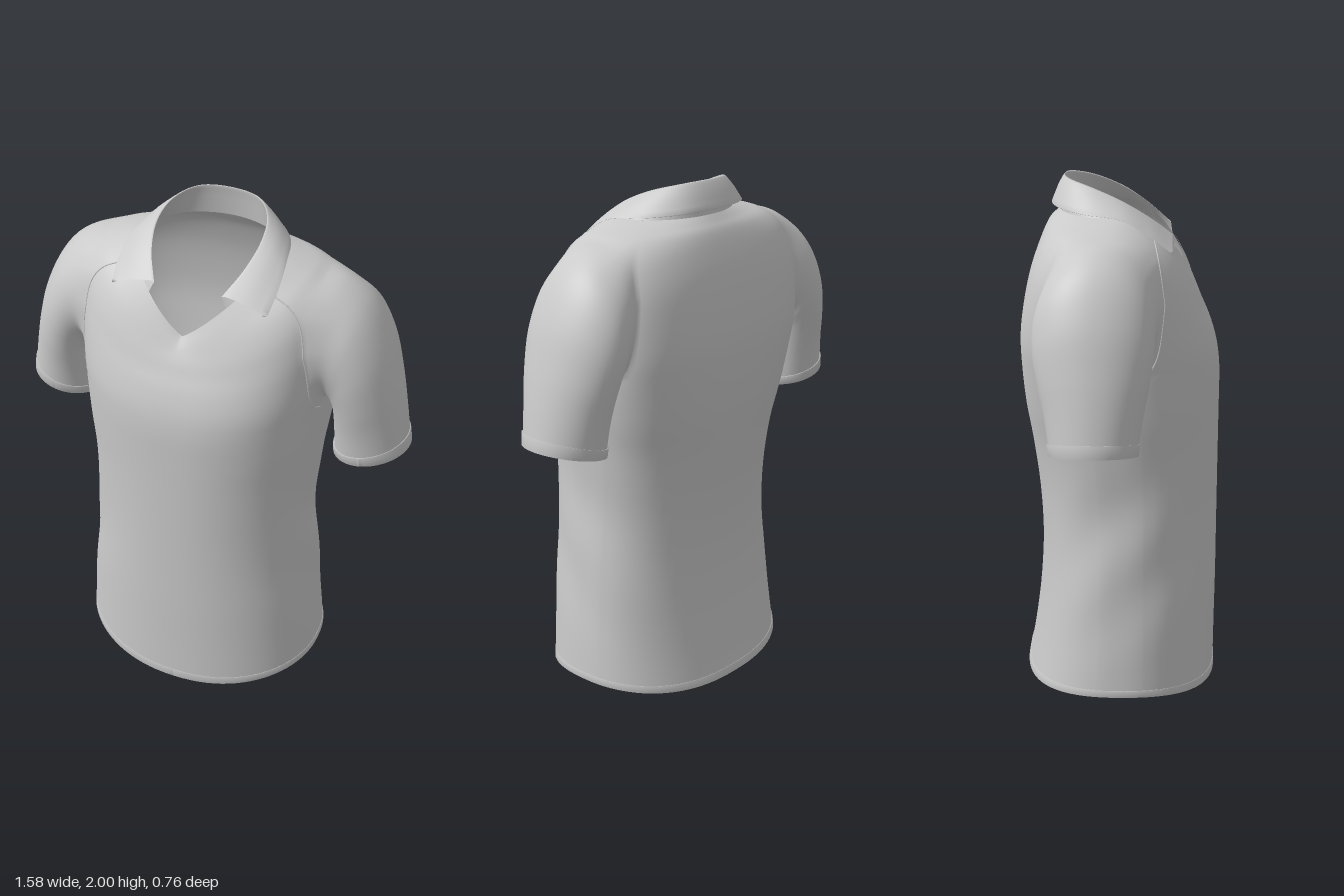
import * as THREE from 'three';

const fabric = new THREE.MeshStandardMaterial({ color: 0xcacaca, side: THREE.DoubleSide });
fabric.name = 'light grey fabric';

const N = 96, SUB = 4;             // columns around the torso, rows per level
const ARM0 = 29, ARM1 = 48;        // rows spanned by the armhole
const COL0 = 16, COL1 = 32;        // columns spanned by the left armhole

// Torso levels: yFront, ySide, yBack, halfWidth, zFront, zBack, zSide, roundness, front curve
const LEVELS = [
  [0, 0.07, 0.03, 0.50, 0.375, -0.38, 0, 0.85, 2],
  [0.2, 0.22, 0.2, 0.49, 0.376, -0.35, 0, 0.85, 2],
  [0.4, 0.4, 0.4, 0.475, 0.378, -0.325, 0, 0.85, 2],
  [0.6, 0.6, 0.6, 0.455, 0.378, -0.315, 0, 0.85, 2],
  [0.8, 0.8, 0.8, 0.442, 0.378, -0.325, 0, 0.85, 2],
  [1.0, 1.0, 1.0, 0.45, 0.378, -0.35, -0.01, 0.82, 2],
  [1.15, 1.15, 1.15, 0.465, 0.378, -0.372, -0.03, 0.75, 2],
  [1.27, 1.29, 1.3, 0.477, 0.377, -0.383, -0.06, 0.68, 2],
  [1.36, 1.41, 1.43, 0.485, 0.366, -0.383, -0.08, 0.6, 2],
  [1.44, 1.54, 1.56, 0.49, 0.342, -0.365, -0.1, 0.57, 2],
  [1.5, 1.66, 1.67, 0.485, 0.315, -0.34, -0.1, 0.57, 1.9],
  [1.54, 1.76, 1.76, 0.465, 0.297, -0.308, -0.09, 0.65, 1.7],
  [1.57, 1.82, 1.82, 0.42, 0.28, -0.28, -0.07, 0.8, 1.5],
  [1.597, 1.85, 1.85, 0.34, 0.262, -0.255, -0.05, 0.95, 1.3],
  [1.625, 1.87, 1.873, 0.265, 0.24, -0.235, -0.03, 1, 1.15],
];
const TOP = LEVELS.length - 1;

const clamp = THREE.MathUtils.clamp;
const spow = (t, e) => Math.sign(t) * Math.pow(Math.abs(t), e);

// Smooth interpolation between torso levels
function level(v) {
  const i = Math.min(Math.floor(v), TOP - 1), t = v - i;
  const row = k => LEVELS[clamp(k, 0, TOP)];
  return row(i).map((b, n) => {
    const a = row(i - 1)[n], c = row(i + 1)[n], d = row(i + 2)[n];
    return b + 0.5 * t * (c - a + t * (2 * a - 5 * b + 4 * c - d + t * (3 * (b - c) + d - a)));
  });
}

// Point on the torso at level v and angle a (0 = front, +90 degrees = left)
function torso(v, a, grow = 0) {
  const [yF, yS, yB, w, zF, zB, zC, eB, p] = level(v);
  const s = Math.sin(a), c = Math.cos(a), e = c > 0 ? 0.5 + 0.5 * eB : eB;
  const y = yS + ((c > 0 ? yF : yB) - yS) * (1 - Math.pow(Math.abs(s), p));
  // soft cloth folds along the waist sides
  const mask = Math.pow(Math.sin(Math.PI * clamp((y - 0.1) / 1.1, 0, 1)), 2) * s ** 4;
  const k = 1 + 0.014 * mask * Math.sin(13 * y - 5 * c);
  const x = w * spow(s, e) * k + grow * s;
  const z = zC + (c > 0 ? zF - zC : zC - zB) * spow(c, e) * k + grow * c;
  return new THREE.Vector3(x, y, z);
}

// Column angle: columns squeeze together below the arm so the armhole is rounded
function columnAngle(i, v) {
  const deg = i * 360 / N, mid = deg < 180 ? 90 : 270, d = deg - mid;
  const h = 12 + 20 * Math.sqrt(clamp((v - ARM0 / SUB) / 2.5, 0, 1));
  const m = Math.abs(d) <= 30 ? Math.abs(d) * h / 30 : h + (Math.abs(d) - 30) * (90 - h) / 60;
  return (mid + Math.sign(d) * m) * Math.PI / 180;
}

// Sleeve rings: outer x, y, inner x, y, zBack, zFront
const SLEEVE = [
  [0.505, 1.795, 0.481, 1.325, -0.295, 0.13],
  [0.6, 1.722, 0.486, 1.315, -0.31, 0.122],
  [0.68, 1.58, 0.49, 1.295, -0.308, 0.115],
  [0.728, 1.42, 0.493, 1.25, -0.29, 0.1],
  [0.757, 1.29, 0.497, 1.17, -0.268, 0.08],
  [0.785, 1.13, 0.5, 1.065, -0.25, 0.06],
];
function sleeveRing([ox, oy, ix, iy, zb, zf], phi, grow = 0) {
  const u = new THREE.Vector3((ox - ix) / 2, (oy - iy) / 2, 0);
  u.setLength(u.length() + grow).multiplyScalar(Math.sin(phi));
  return new THREE.Vector3((ox + ix) / 2, (oy + iy) / 2, (zb + zf) / 2 + ((zf - zb) / 2 + grow) * Math.cos(phi)).add(u);
}

// Generic grid surface from fn(row, column)
function gridGeometry(rows, cols, fn, flip = false) {
  const pos = [], idx = [];
  for (let j = 0; j <= rows; j++) for (let i = 0; i <= cols; i++) pos.push(...fn(j, i).toArray());
  for (let j = 0; j < rows; j++) for (let i = 0; i < cols; i++) {
    const a = j * (cols + 1) + i, b = a + 1, c = b + cols + 1, d = a + cols + 1;
    idx.push(...(flip ? [a, c, b, a, d, c] : [a, b, c, a, c, d]));
  }
  const g = new THREE.BufferGeometry();
  g.setAttribute('position', new THREE.Float32BufferAttribute(pos, 3));
  g.setIndex(idx);
  g.computeVertexNormals();
  return g;
}

export function createModel() {
  const shirt = new THREE.Group();
  shirt.name = 'poloShirt';
  const add = (name, g) => {
    const m = new THREE.Mesh(g, fabric);
    m.name = name;
    shirt.add(m);
  };

  // Torso grid with two armholes left open
  const pts = [], torsoIdx = [], sleeveIdx = { leftSleeve: [], rightSleeve: [] };
  const rows = TOP * SUB;
  for (let j = 0; j <= rows; j++)
    for (let i = 0; i < N; i++) pts.push(torso(j / SUB, columnAngle(i, j / SUB)));
  const id = (i, j) => j * N + (i + N) % N;
  for (let j = 0; j < rows; j++) for (let i = 0; i < N; i++) {
    const k = i < N / 2 ? i : N - 1 - i;
    if (j >= ARM0 && j < ARM1 && k >= COL0 && k < COL1) continue;
    const a = id(i, j), b = id(i + 1, j), c = id(i + 1, j + 1), d = id(i, j + 1);
    torsoIdx.push(a, b, c, a, c, d);
  }

  // Sleeves grow out of the armhole edges
  const loop = [];
  for (let j = ARM0; j < ARM1; j++) loop.push([COL0, j]);
  for (let i = COL0; i < COL1; i++) loop.push([i, ARM1]);
  for (let j = ARM1; j > ARM0; j--) loop.push([COL1, j]);
  for (let i = COL1; i > COL0; i--) loop.push([i, ARM0]);
  const STEPS = 30;
  for (const side of [1, -1]) {
    const strands = loop.map(([i, j]) => {
      const start = pts[id(i, j)];
      const phi = Math.atan2((start.y - 1.57) / 0.25, (start.z + 0.075) / 0.21);
      const path = new THREE.CatmullRomCurve3([start, ...SLEEVE.map(r => sleeveRing(r, phi))]);
      const ids = [id(side * i, j)];
      for (let k = 1; k <= STEPS; k++) {
        const p = path.getPoint(k / STEPS);
        p.x *= side;
        ids.push(pts.push(p) - 1);
      }
      return ids;
    });
    const out = sleeveIdx[side > 0 ? 'leftSleeve' : 'rightSleeve'];
    strands.forEach((s, n) => {
      const t = strands[(n + 1) % strands.length];
      for (let k = 0; k < STEPS; k++) {
        const [a, b, c, d] = [s[k], s[k + 1], t[k + 1], t[k]];
        out.push(...(side > 0 ? [a, b, c, a, c, d] : [a, c, b, a, d, c]));
      }
    });
  }

  // Shared normals keep the shoulders smooth across torso and sleeves
  const body = new THREE.BufferGeometry().setFromPoints(pts);
  body.setIndex([...torsoIdx, ...sleeveIdx.leftSleeve, ...sleeveIdx.rightSleeve]);
  body.computeVertexNormals();
  for (const [name, idx] of Object.entries({ torso: torsoIdx, ...sleeveIdx })) {
    const g = body.clone();
    g.setIndex(idx);
    add(name, g);
  }

  // Cuff bands and raglan seams, mirrored
  const cuffEnd = SLEEVE[5], cuffTop = cuffEnd.map((v, n) => v + (SLEEVE[4][n] - v) * 0.3);
  const cuffRows = [[cuffTop, 0], [cuffTop, 0.005], [cuffEnd, 0.005], [cuffEnd, -0.004]];
  for (const side of [1, -1]) {
    const prefix = side > 0 ? 'left' : 'right';
    add(prefix + 'Cuff', gridGeometry(3, 64, (j, i) => {
      const p = sleeveRing(cuffRows[j][0], i / 64 * Math.PI * 2, cuffRows[j][1]);
      p.x *= side;
      return p;
    }, side < 0));
    const seam = [];
    for (let j = ARM0; j <= rows; j++) {
      const p = torso(j / SUB, columnAngle(COL0, j / SUB));
      p.x *= side;
      seam.push(p);
    }
    add(prefix + 'RaglanSeam', new THREE.TubeGeometry(new THREE.CatmullRomCurve3(seam), 60, 0.003, 6));
  }

  // Hem band around the bottom edge
  add('hem', gridGeometry(3, N, (j, i) =>
    torso([0, 0, 0.25, 0.25][j], i / N * Math.PI * 2, [-0.003, 0.003, 0.003, -0.001][j])));

  // Placket strip along the V of the neck
  add('placket', gridGeometry(6, 32, (j, i) =>
    torso(12.7 + 1.3 * j / 6, (i / 16 - 1) * 0.6, 0.005)));

  // Folded collar: stand, fold, bulge, outer edge and a small return lip
  const curve = list => new THREE.CatmullRomCurve3(list.map(p => new THREE.Vector3(...p)));
  const mirrored = half => curve([...half.slice(1).reverse().map(([x, y, z]) => [-x, y, z]), ...half]);
  const fold = mirrored([[0, 1.998, -0.215], [0.12, 1.993, -0.188], [0.185, 1.968, -0.1],
    [0.2, 1.925, 0], [0.178, 1.863, 0.1], [0.13, 1.792, 0.188]]);
  const edge = mirrored([[0, 1.9, -0.264], [0.16, 1.897, -0.238], [0.262, 1.885, -0.14],
    [0.3, 1.868, 0], [0.308, 1.812, 0.1], [0.3, 1.748, 0.185]]);
  const W = 72, H = 14;
  add('collar', gridGeometry(H + 1, W, (j, i) => {
    const t = i / W, f = fold.getPoint(t), e = edge.getPoint(t);
    const stand = torso(TOP, Math.PI + (0.5 - t) * 2 * 2.55);
    if (j > H) return e.lerp(stand, 0.12);
    const inner = f.clone().lerp(stand, 0.3);
    const bulge = f.clone().lerp(e, 0.45).add(new THREE.Vector3(0, 0.01, 0));
    return new THREE.CatmullRomCurve3([stand, inner, f, bulge, e]).getPoint(j / H);
  }, true));

  return shirt;
}
